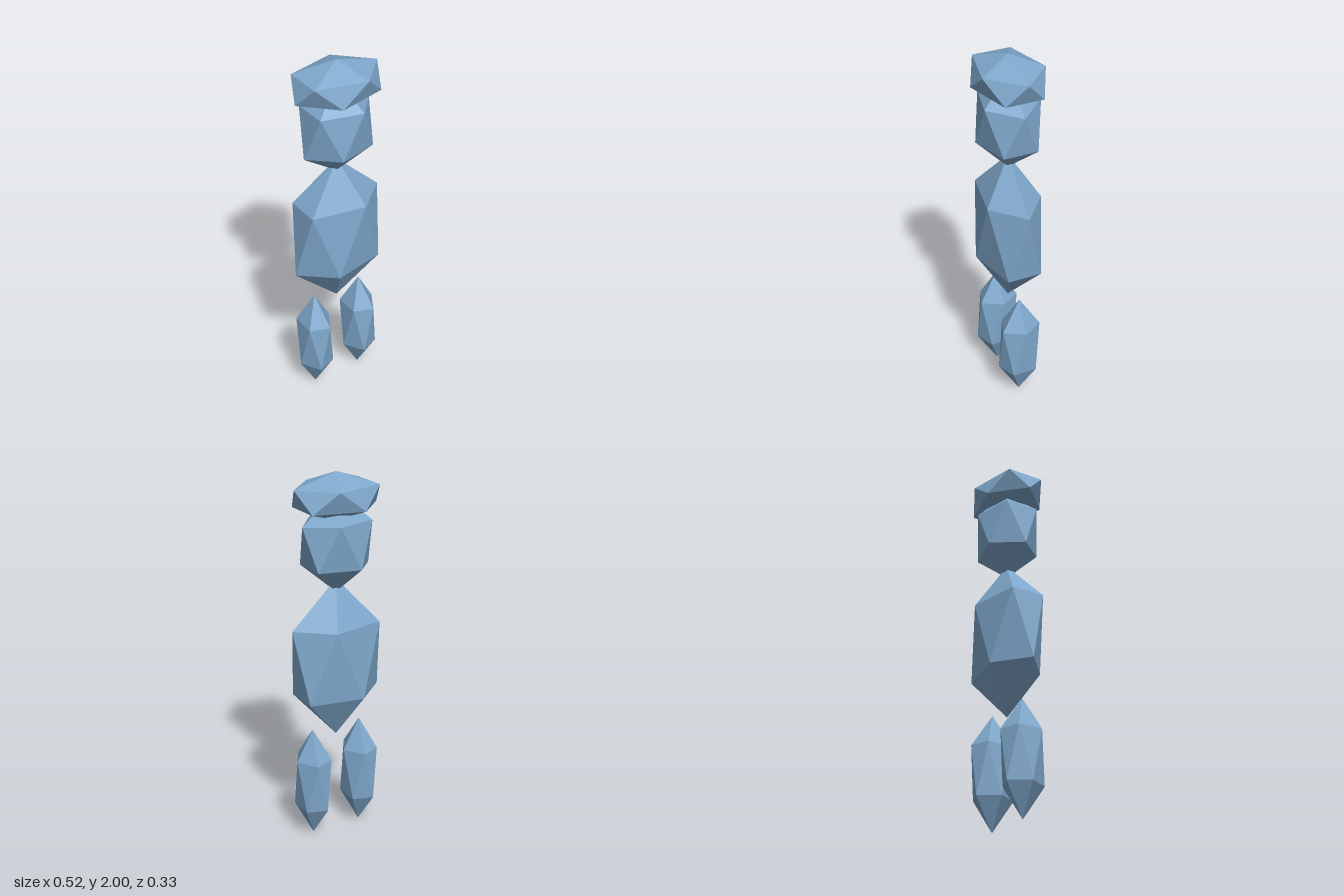
import * as THREE from 'three';

// Faceted gem: two poles and two staggered rings of five corners, scaled per axis.
// sag lowers the outermost corner at each side.
function gemGeometry(rx, ry, rz, sag = 0) {
  const h = 1 / Math.sqrt(5), r = 2 / Math.sqrt(5);
  const pos = [0, ry, 0, 0, -ry, 0];
  const idx = [];
  for (let k = 0; k < 10; k++) {
    // even k: upper ring, odd k: lower ring
    const a = (k * Math.PI) / 5;
    const drop = k % 5 === 0 ? sag : 0;
    pos.push(rx * r * Math.cos(a), (k % 2 ? -h : h) * ry - drop, rz * r * Math.sin(a));
  }
  const v = (k) => 2 + (k % 10);
  for (let k = 0; k < 10; k += 2) {
    idx.push(0, v(k + 2), v(k));            // crown
    idx.push(v(k), v(k + 2), v(k + 1));     // belt, pointing down
    idx.push(v(k + 1), v(k + 2), v(k + 3)); // belt, pointing up
    idx.push(1, v(k + 1), v(k + 3));        // base
  }
  const indexed = new THREE.BufferGeometry();
  indexed.setAttribute('position', new THREE.Float32BufferAttribute(pos, 3));
  indexed.setIndex(idx);
  const g = indexed.toNonIndexed();
  g.computeVertexNormals();
  return g;
}

export function createModel() {
  const group = new THREE.Group();
  group.name = 'figure';
  const blue = new THREE.MeshStandardMaterial({ color: 0x7fa8cc, flatShading: true });
  blue.name = 'steel blue';

  const add = (name, geometry, x, y) => {
    const mesh = new THREE.Mesh(geometry, blue);
    mesh.name = name;
    mesh.position.set(x, y, 0);
    group.add(mesh);
  };

  // Legs share one shape and face the same way
  const leg = gemGeometry(0.106, 0.312, 0.128);
  add('leftLeg', leg, 0.145, 0.315);
  add('rightLeg', leg, -0.145, 0.315);

  add('body', gemGeometry(0.289, 0.438, 0.178), 0, 1.008);
  add('head', gemGeometry(0.217, 0.262, 0.178, 0.015), 0, 1.638);
  add('hat', gemGeometry(0.267, 0.123, 0.196), 0, 1.877);

  return group;
}
